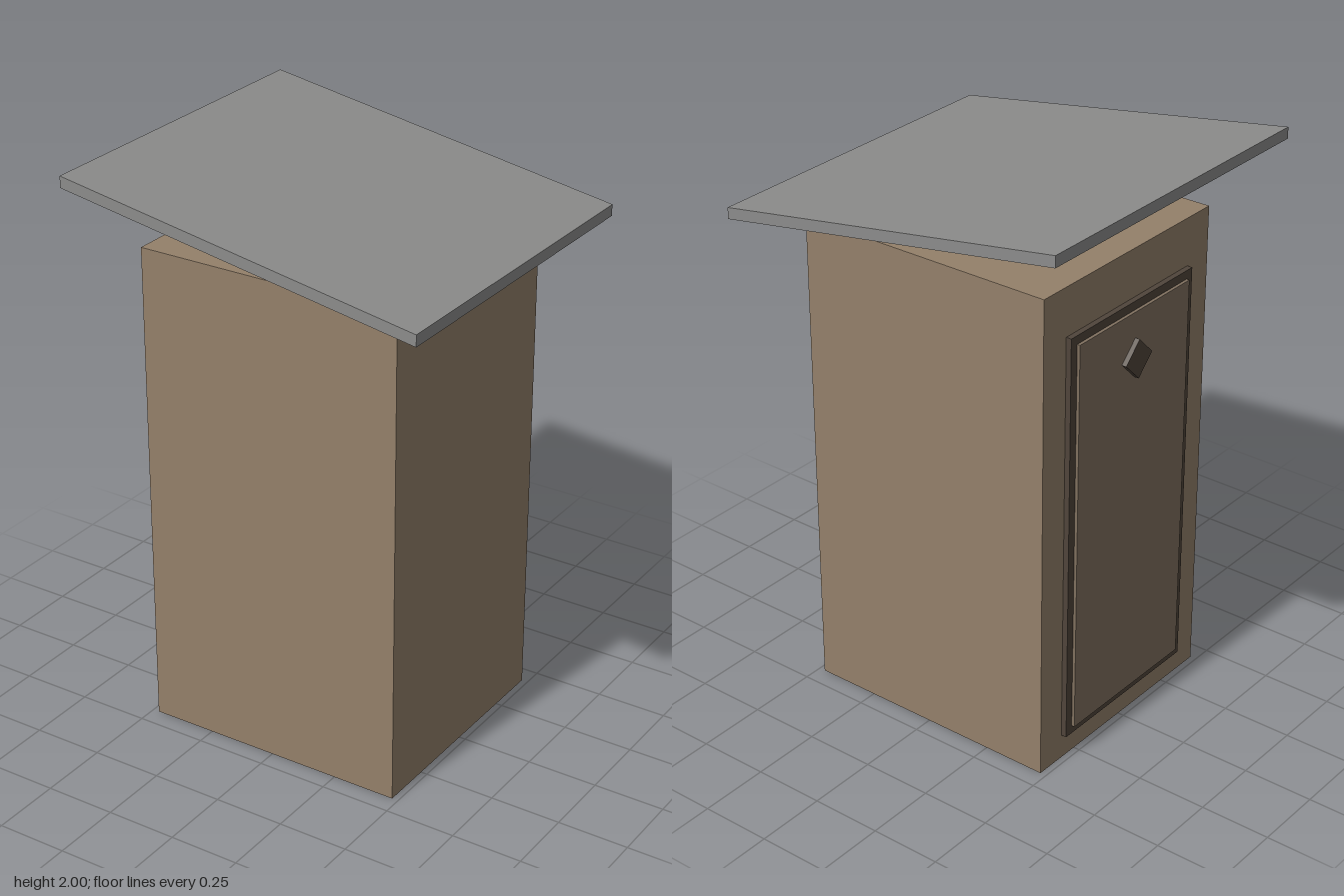
import * as THREE from 'three';

export function createModel() {
  const group = new THREE.Group();
  const material = (name, color) => {
    const m = new THREE.MeshStandardMaterial({ color });
    m.name = name;
    return m;
  };
  const wallBrown = material('wallBrown', 0x94806a);
  const doorBrown = material('doorBrown', 0x80705f);
  const trimBrown = material('darkTrimBrown', 0x50453b);
  const roofGrey = material('roofGrey', 0x8c8c8b);

  const add = (name, geometry, mat, x, y, z) => {
    const mesh = new THREE.Mesh(geometry, mat);
    mesh.name = name;
    mesh.position.set(x, y, z);
    group.add(mesh);
    return mesh;
  };

  // Plain rectangular cabin
  add('cabin', new THREE.BoxGeometry(0.955, 1.74, 0.864), wallBrown, 0, 0.87, 0);

  // Door on the -x side: surround, slab and diamond window, each a step further out
  add('doorFrame', new THREE.BoxGeometry(0.03, 1.48, 0.64), trimBrown, -0.482, 0.83, 0);
  add('door', new THREE.BoxGeometry(0.04, 1.42, 0.58), doorBrown, -0.488, 0.83, 0);
  const diamond = add('doorDiamond', new THREE.BoxGeometry(0.05, 0.098, 0.098), trimBrown, -0.5, 1.38, 0);
  diamond.rotation.x = Math.PI / 4;

  // Sloping roof with vertical ends, floating above the cabin
  const profile = new THREE.Shape([
    new THREE.Vector2(-0.65, 1.96),
    new THREE.Vector2(0.65, 1.745),
    new THREE.Vector2(0.65, 1.785),
    new THREE.Vector2(-0.65, 2),
  ]);
  const roof = new THREE.ExtrudeGeometry(profile, { depth: 1.21, bevelEnabled: false });
  add('roof', roof, roofGrey, 0, 0, -0.605);

  return group;
}
